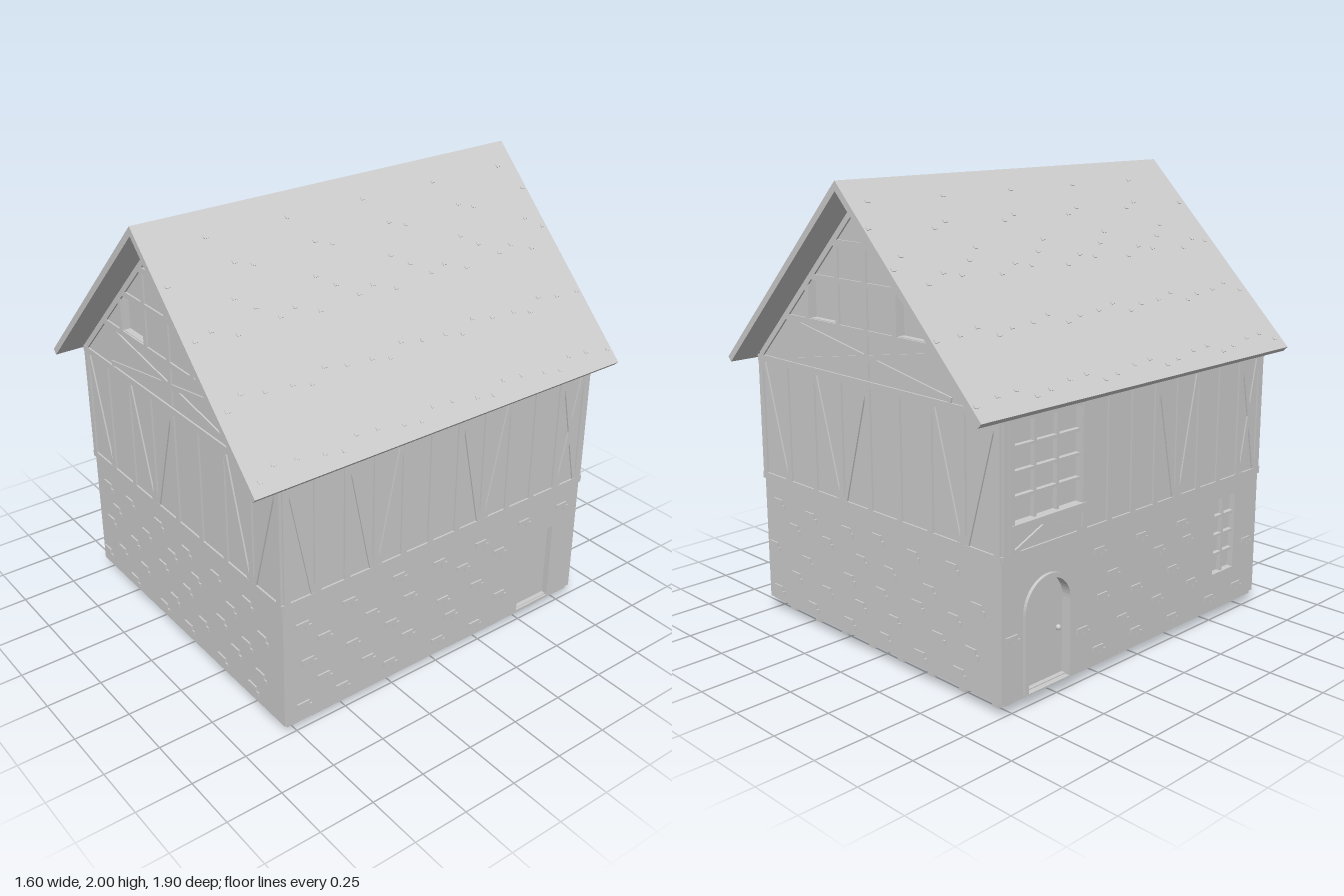
import * as THREE from 'three';

const mat = new THREE.MeshStandardMaterial({ color: 0xcccccc, flatShading: true });
const HX = 0.76, HZ = 0.815, BASE = 0.06, SILL = 0.63, EAVE = 1.2, APEX = 1.96;

let seed = 7;
const rand = () => (seed = (seed * 16807) % 2147483647) / 2147483647;

function add(parent, name, geometry, x = 0, y = 0, z = 0) {
  const mesh = new THREE.Mesh(geometry, mat);
  mesh.name = name;
  mesh.position.set(x, y, z);
  parent.add(mesh);
  return mesh;
}
const box = (parent, name, w, h, d, x, y, z) => add(parent, name, new THREE.BoxGeometry(w, h, d), x, y, z);

// A timber lying on the wall face (local z = 0) between two points
function timber(wall, x1, y1, x2, y2, width = 0.03, proud = 0.008) {
  const m = box(wall, 'timber', Math.hypot(x2 - x1, y2 - y1), width, proud, (x1 + x2) / 2, (y1 + y2) / 2, proud / 2);
  m.rotation.z = Math.atan2(y2 - y1, x2 - x1);
}

function outline(points) {
  return new THREE.Shape(points.map(p => new THREE.Vector2(...p)));
}
function openingPath({ x0, x1, y0, y1, arch }, grow = 0) {
  const a = x0 - grow, b = x1 + grow, r = (b - a) / 2, path = new THREE.Shape();
  path.moveTo(a, y0 - (arch ? 0 : grow));
  path.lineTo(b, y0 - (arch ? 0 : grow));
  if (arch) {
    const spring = y1 - (x1 - x0) / 2;
    path.lineTo(b, spring);
    path.absarc((a + b) / 2, spring, r, 0, Math.PI, false);
  } else {
    path.lineTo(b, y1 + grow);
    path.lineTo(a, y1 + grow);
  }
  path.closePath();
  return path;
}

// Wall with recessed openings; local z = 0 is the outer face
function makeWall(house, name, angle, distance, points, openings) {
  const wall = new THREE.Group();
  wall.name = name;
  wall.rotation.y = angle;
  wall.position.set(Math.sin(angle) * distance, 0, Math.cos(angle) * distance);
  const shape = outline(points);
  openings.forEach(o => shape.holes.push(openingPath(o)));
  add(wall, 'wallPanel', new THREE.ExtrudeGeometry(shape, { depth: 0.04, bevelEnabled: false }), 0, 0, -0.04);
  for (const o of openings) {
    const w = o.x1 - o.x0, h = o.y1 - o.y0, cx = (o.x0 + o.x1) / 2, cy = (o.y0 + o.y1) / 2;
    add(wall, o.name, new THREE.ExtrudeGeometry(openingPath(o, 0.004), { depth: 0.02, bevelEnabled: false }), 0, 0, -0.05);
    if (o.frame) {
      const ring = openingPath(o, 0.02);
      ring.holes.push(openingPath(o));
      add(wall, o.name + 'Frame', new THREE.ExtrudeGeometry(ring, { depth: o.frame, bevelEnabled: false }));
    }
    // Glazing bars
    const [cols, rows] = o.panes || [1, 1];
    for (let i = 1; i < cols; i++) box(wall, 'glazingBar', 0.012, h, 0.022, o.x0 + w * i / cols, cy, -0.02);
    for (let i = 1; i < rows; i++) box(wall, 'glazingBar', w, 0.012, 0.022, cx, o.y0 + h * i / rows, -0.02);
  }
  house.add(wall);
  return wall;
}

// Studs and braces of the upper storey
function addFraming(wall, half, bays, blocked = () => false) {
  const step = (half * 2 - 0.04) / bays, lo = SILL + 0.03, hi = EAVE - 0.03;
  timber(wall, -half, SILL + 0.015, half, SILL + 0.015);
  timber(wall, -half, EAVE - 0.015, half, EAVE - 0.015);
  for (let i = 0; i <= bays; i++) {
    const x = -half + 0.02 + i * step;
    if (!blocked(x)) timber(wall, x, lo, x, hi);
    if (i === bays || blocked(x) || blocked(x + step)) continue;
    const a = x + 0.02, b = x + step - 0.02;
    if (i === 0 || i % 4 === 2) timber(wall, a, hi, b, lo, 0.022, 0.007);
    if (i === bays - 1 || i % 4 === 3) timber(wall, a, lo, b, hi, 0.022, 0.007);
  }
}

// Slightly raised stones in the lower storey
function addStones(wall, half, openings) {
  for (let row = 0; row < 5; row++) {
    for (let x = -half + 0.08 + (row % 2) * 0.1; x < half - 0.08; x += 0.24) {
      const px = x + (rand() - 0.5) * 0.07, py = 0.12 + row * 0.105 + (rand() - 0.5) * 0.03;
      const hit = openings.some(o => px > o.x0 - 0.08 && px < o.x1 + 0.08 && py > o.y0 - 0.05 && py < o.y1 + 0.05);
      if (hit) continue;
      box(wall, 'stone', 0.06, 0.022, 0.008, px, py, 0.003);
      box(wall, 'stone', 0.03, 0.02, 0.008, px + 0.03, py - 0.021, 0.002);
    }
  }
}

export function createModel() {
  const house = new THREE.Group();
  house.name = 'house';

  // Gable walls, front and back
  const gable = [[-HX, BASE], [HX, BASE], [HX, EAVE], [0, APEX], [-HX, EAVE]];
  const atticWindows = [-0.37, 0.195].map(x0 => ({ name: 'atticWindow', x0, x1: x0 + 0.175, y0: 1.41, y1: 1.57 }));
  for (const [name, angle] of [['frontWall', 0], ['backWall', Math.PI]]) {
    const wall = makeWall(house, name, angle, HZ, gable, atticWindows);
    addFraming(wall, HX + 0.005, 8);
    addStones(wall, HX, []);
    // Attic framing
    for (const y of [1.395, 1.585, 1.74]) timber(wall, y - APEX + 0.02, y, APEX - 0.02 - y, y, 0.025);
    for (const s of [-1, 1]) {
      timber(wall, s * 0.5, 1.21, -s * 0.5, 1.38, 0.022, 0.007);
      timber(wall, s * 0.74, 1.2, s * 0.01, 1.93, 0.025);
      timber(wall, s * 0.18, 1.4, s * 0.18, 1.74, 0.025);
      timber(wall, s * 0.385, 1.4, s * 0.385, 1.56, 0.025);
    }
    timber(wall, 0, 1.21, 0, 1.92, 0.025);
  }

  // Side walls
  const W = HZ - 0.015;
  const side = [[-W, BASE], [W, BASE], [W, EAVE], [-W, EAVE]];
  const leftOpenings = [{ name: 'sideDoor', x0: 0.475, x1: 0.67, y0: BASE + 0.005, y1: 0.445 }];
  const left = makeWall(house, 'leftWall', Math.PI / 2, HX, side, leftOpenings);
  addFraming(left, HZ, 11);
  addStones(left, HZ, leftOpenings);

  const rightOpenings = [
    { name: 'archedDoor', x0: -0.68, x1: -0.45, y0: BASE + 0.005, y1: 0.51, arch: true, frame: 0.014 },
    { name: 'largeWindow', x0: -0.75, x1: -0.38, y0: 0.77, y1: 1.16, panes: [3, 4] },
    { name: 'narrowWindow', x0: 0.5, x1: 0.65, y0: 0.22, y1: 0.57, panes: [2, 4] },
  ];
  const right = makeWall(house, 'rightWall', -Math.PI / 2, HX, side, rightOpenings);
  addFraming(right, HZ, 11, x => x > -0.78 && x < -0.36);
  addStones(right, HZ, rightOpenings);
  // Apron below the large window
  timber(right, -0.77, 0.755, -0.36, 0.755, 0.03, 0.012);
  timber(right, -0.75, 0.66, -0.565, 0.74, 0.02);
  timber(right, -0.565, 0.74, -0.38, 0.66, 0.02);
  for (const x of [-0.765, -0.365]) timber(right, x, 0.66, x, 1.17, 0.025);
  add(right, 'doorHandle', new THREE.SphereGeometry(0.012, 10, 8), -0.48, 0.27, -0.022);

  // Roof
  const roofShape = outline([[0, 2], [-0.8, 1.2], [-0.78, 1.18], [0, 1.96], [0.78, 1.18], [0.8, 1.2]]);
  add(house, 'roof', new THREE.ExtrudeGeometry(roofShape, { depth: 1.9, bevelEnabled: false }), 0, 0, -0.95);

  // Proud tile edges repeated along the roof: height, offset along z
  const tiles = [[1.92, 0.28], [1.83, 0.35], [1.81, 0.04], [1.73, 0.28], [1.69, 0.35], [1.66, 0.13], [1.645, 0.05], [1.63, 0.23],
    [1.475, 0.13], [1.455, 0.35], [1.44, 0.05], [1.46, 0.23], [1.27, 0.13], [1.25, 0.35], [1.24, 0.05], [1.265, 0.23]];
  for (const s of [-1, 1]) {
    for (const [y, offset] of tiles) {
      for (let z = 0.95 - offset; z > -0.94; z -= 0.382) {
        box(house, 'roofTile', 0.014, 0.006, 0.02, s * (2 - y), y, z).rotation.z = -s * Math.PI / 4;
      }
    }
  }

  // Plank floor on joists
  const planks = 26, pw = 2 * W / planks;
  for (let i = 0; i < planks; i++) {
    box(house, 'floorPlank', 2 * HX - 0.01, 0.016, pw - 0.004, 0, 0.056 - rand() * 0.005, -W + pw * (i + 0.5));
  }
  box(house, 'subfloor', 2 * HX - 0.02, 0.01, 2 * W, 0, 0.064, 0);
  for (let i = 0; i < 8; i++) box(house, 'joist', 0.036, 0.055, 1.52, (i - 3.5) * 0.191, 0.0275, 0);

  return house;
}
